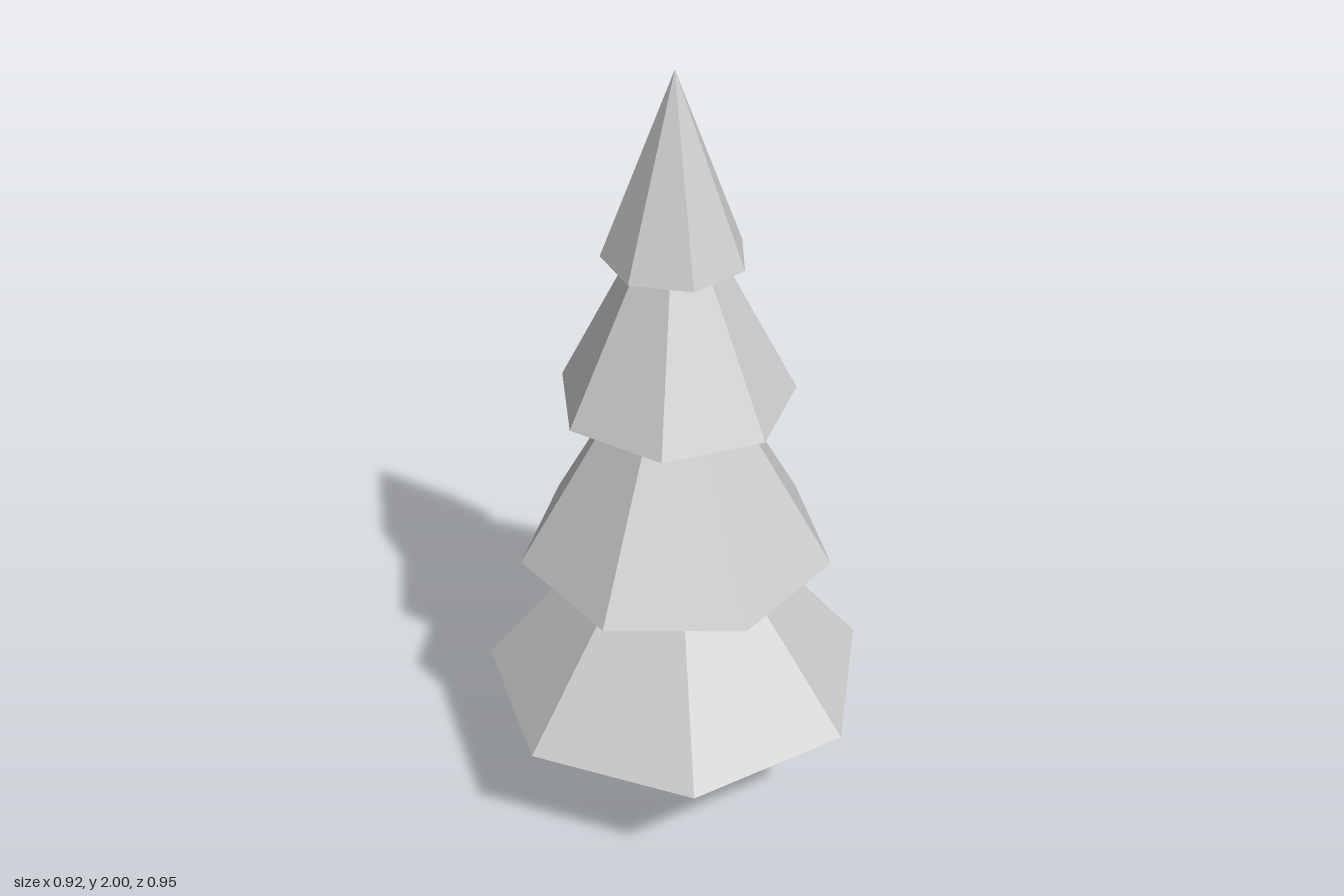
import * as THREE from 'three';

const CENTRE_X = -0.025;

export function createModel() {
  const group = new THREE.Group();
  const grey = new THREE.MeshStandardMaterial({ color: 0xcccccc });
  grey.name = 'plain grey';

  // Faceted upright part; "angle" turns its first corner from +x towards +z
  function addPart(name, topRadius, bottomRadius, bottom, top, sides, angle) {
    const geometry = new THREE.CylinderGeometry(topRadius, bottomRadius, top - bottom, sides)
      .rotateY(THREE.MathUtils.degToRad(90 - angle))
      .toNonIndexed();
    geometry.computeVertexNormals(); // flat facets
    const mesh = new THREE.Mesh(geometry, grey);
    mesh.name = name;
    mesh.position.set(CENTRE_X, (bottom + top) / 2, 0);
    group.add(mesh);
  }

  // Six-sided trunk
  addPart('trunk', 0.043, 0.043, 0, 0.36, 6, 0);

  // Four seven-sided cones, each turned differently: radius, bottom, tip, angle
  const tiers = [
    [0.485, 0.35, 0.973, 0],
    [0.385, 0.75, 1.418, -20.2],
    [0.286, 1.18, 1.754, 11.3],
    [0.17, 1.55, 2, -8.8],
  ];
  tiers.forEach(([radius, bottom, tip, angle], i) =>
    addPart(`foliageTier${i + 1}`, 0, radius, bottom, tip, 7, angle));

  return group;
}
